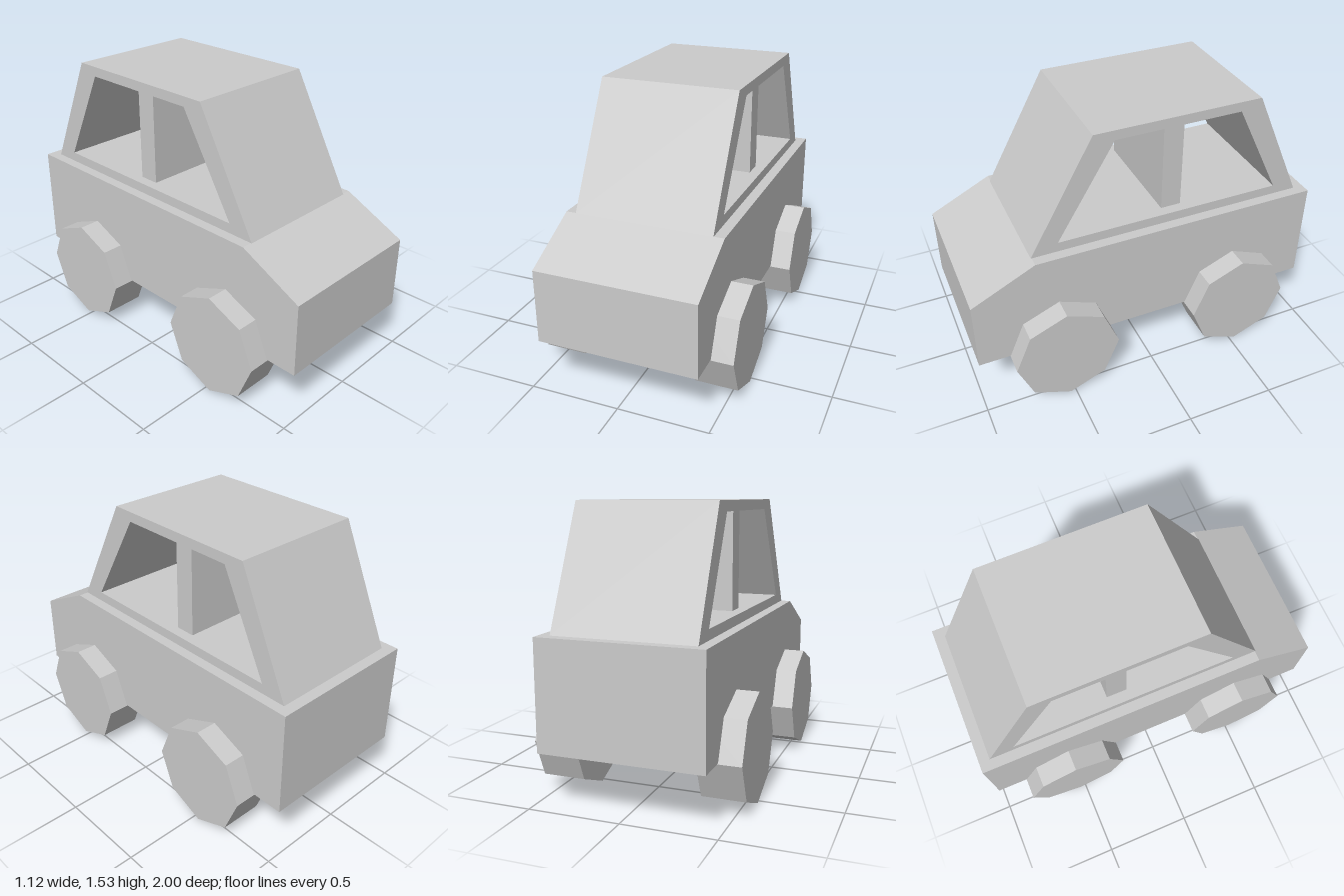
import * as THREE from 'three';

const material = new THREE.MeshStandardMaterial({ color: 0xcccccc, flatShading: true });

// Side outline in (z, y), with an optional opening, extruded across the car's width
function sideProfile(name, outline, width, opening) {
  const toPoints = (list) => list.map(([z, y]) => new THREE.Vector2(z, y));
  const shape = new THREE.Shape(toPoints(outline));
  if (opening) shape.holes.push(new THREE.Path(toPoints(opening)));
  const geometry = new THREE.ExtrudeGeometry(shape, { depth: width, bevelEnabled: false });
  geometry.translate(0, 0, -width / 2);
  geometry.rotateY(-Math.PI / 2);
  const mesh = new THREE.Mesh(geometry, material);
  mesh.name = name;
  return mesh;
}

export function createModel() {
  const car = new THREE.Group();
  car.name = 'car';

  // Lower body with sloping hood
  car.add(sideProfile('body',
    [[-1, 0.3], [1, 0.3], [1, 0.71], [0.645, 0.885], [-1, 0.885]], 0.88));

  // Cabin with side window opening running right through
  car.add(sideProfile('cabin',
    [[-0.94, 0.885], [0.65, 0.885], [0.295, 1.53], [-0.645, 1.53]], 0.765,
    [[-0.795, 0.94], [0.5, 0.94], [0.18, 1.475], [-0.53, 1.475]]));

  // Upright divider between the front and rear windows, slightly inset
  const divider = new THREE.Mesh(new THREE.BoxGeometry(0.645, 0.535, 0.115), material);
  divider.name = 'windowDivider';
  divider.position.set(0, 1.2075, -0.175);
  car.add(divider);

  // Eight-sided wheels
  const wheelGeometry = new THREE.CylinderGeometry(0.295, 0.295, 0.235, 8);
  wheelGeometry.rotateZ(Math.PI / 2);
  for (const [end, z] of [['front', 0.53], ['rear', -0.53]]) {
    for (const [side, x] of [['Left', 0.4425], ['Right', -0.4425]]) {
      const wheel = new THREE.Mesh(wheelGeometry, material);
      wheel.name = `${end}${side}Wheel`;
      wheel.position.set(x, 0.295, z);
      car.add(wheel);
    }
  }
  return car;
}
